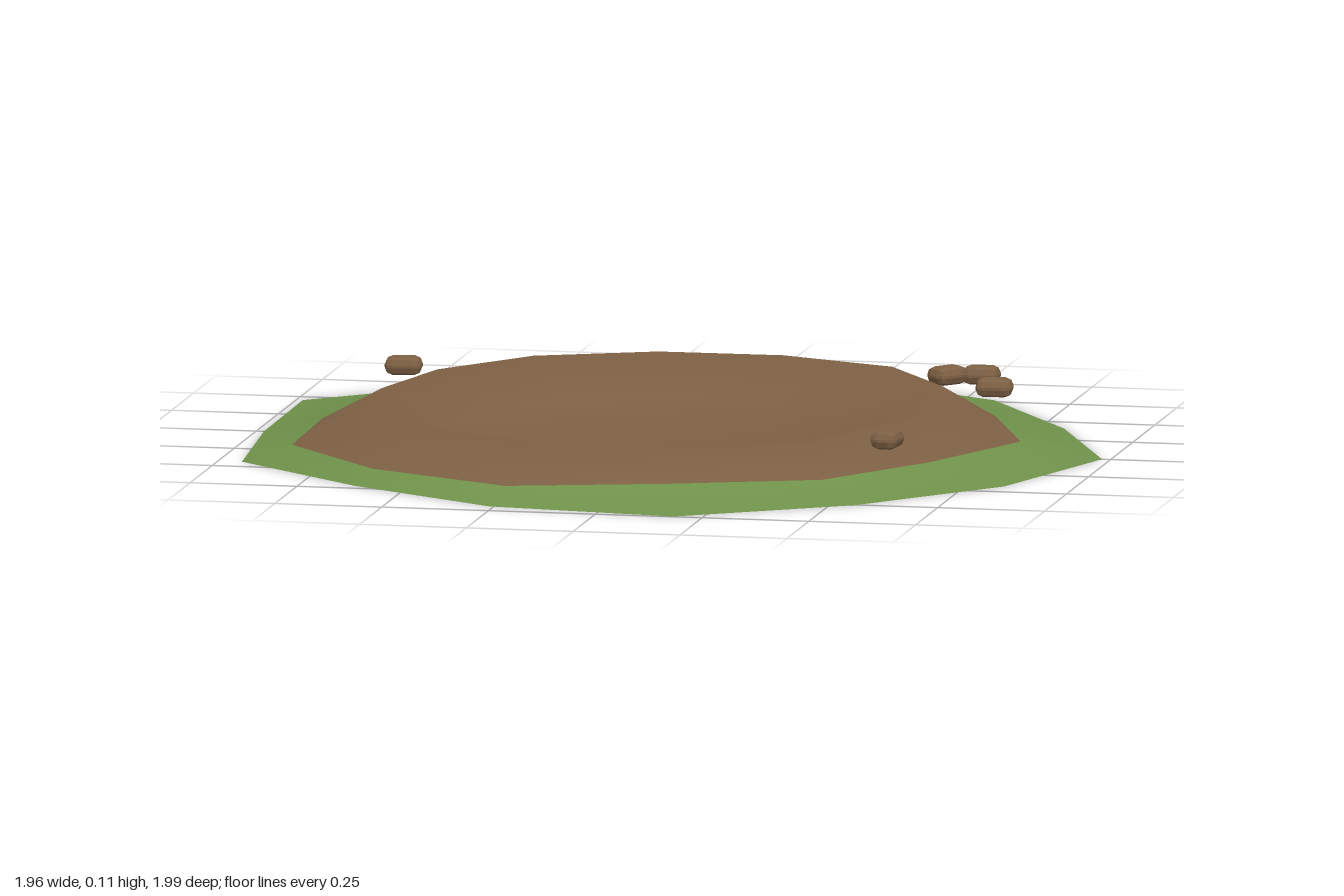
import * as THREE from 'three';
import { RoundedBoxGeometry } from 'three/addons/geometries/RoundedBoxGeometry.js';

const SIDES = 14;
const CENTRE_X = -0.045;

// radii of the uneven rings, one per side, from +x towards +z
const grassEdge = [1.025, 0.98, 0.965, 1.022, 0.965, 0.92, 0.998, 0.937, 1.043, 0.97, 0.9, 1.022, 0.985, 0.945];
const soilEdge = [0.835, 0.765, 0.8, 0.77, 0.88, 0.87, 0.88, 0.8, 0.785, 0.758, 0.75, 0.763, 0.757, 0.783];
const rim = [0.65, 0.63, 0.71, 0.705, 0.7, 0.69, 0.7, 0.66, 0.655, 0.663, 0.652, 0.657, 0.68, 0.657];

// rings from the outside to the middle of the bowl
const rings = [
  { radii: grassEdge, scale: 1, y: 0 },
  { radii: soilEdge, scale: 1, y: 0.035 },
  { radii: rim, scale: 1, y: 0.11 },
  { radii: rim, scale: 0.76, y: 0.028 },
  { radii: rim, scale: 0.4, y: 0.014 },
];

function craterGeometry() {
  const positions = [];
  const index = [];
  for (const { radii, scale, y } of rings) {
    radii.forEach((r, i) => {
      const a = (i / SIDES) * Math.PI * 2;
      positions.push(CENTRE_X + Math.cos(a) * r * scale, y, Math.sin(a) * r * scale);
    });
  }
  const centre = positions.length / 3;
  positions.push(CENTRE_X, 0.012, 0);

  for (let k = 0; k < rings.length; k++) {
    for (let i = 0; i < SIDES; i++) {
      const j = (i + 1) % SIDES;
      const a = k * SIDES + i, b = k * SIDES + j;
      if (k === rings.length - 1) index.push(a, centre, b);
      else index.push(a, a + SIDES, b, b, a + SIDES, b + SIDES);
    }
  }
  const geometry = new THREE.BufferGeometry();
  geometry.setAttribute('position', new THREE.Float32BufferAttribute(positions, 3));
  geometry.setIndex(index);
  geometry.computeVertexNormals();
  // grass is the outermost band, soil is everything inside it
  geometry.addGroup(0, SIDES * 6, 0);
  geometry.addGroup(SIDES * 6, index.length - SIDES * 6, 1);
  return geometry;
}

export function createModel() {
  const grass = new THREE.MeshStandardMaterial({ color: 0x6f924a, side: THREE.DoubleSide });
  grass.name = 'grass green';
  const soil = new THREE.MeshStandardMaterial({ color: 0x7d6044, side: THREE.DoubleSide });
  soil.name = 'soil brown';

  const model = new THREE.Group();
  model.name = 'crater';

  const ground = new THREE.Mesh(craterGeometry(), [grass, soil]);
  ground.name = 'craterGround';
  model.add(ground);

  // small chamfered clods around the rim: x, z, turn
  const clodGeometry = new RoundedBoxGeometry(0.085, 0.042, 0.065, 1, 0.018);
  clodGeometry.computeVertexNormals();
  const clods = new THREE.Group();
  clods.name = 'clods';
  [
    [-0.745, -0.437, 0.1],
    [0.505, -0.55, 0.85],
    [0.58, -0.57, 0],
    [0.645, -0.403, 0.1],
    [0.553, 0.367, 1.45],
  ].forEach(([x, z, turn]) => {
    const clod = new THREE.Mesh(clodGeometry, soil);
    clod.name = 'clod';
    clod.position.set(x, 0.092, z);
    clod.rotation.y = turn;
    clods.add(clod);
  });
  model.add(clods);
  return model;
}
